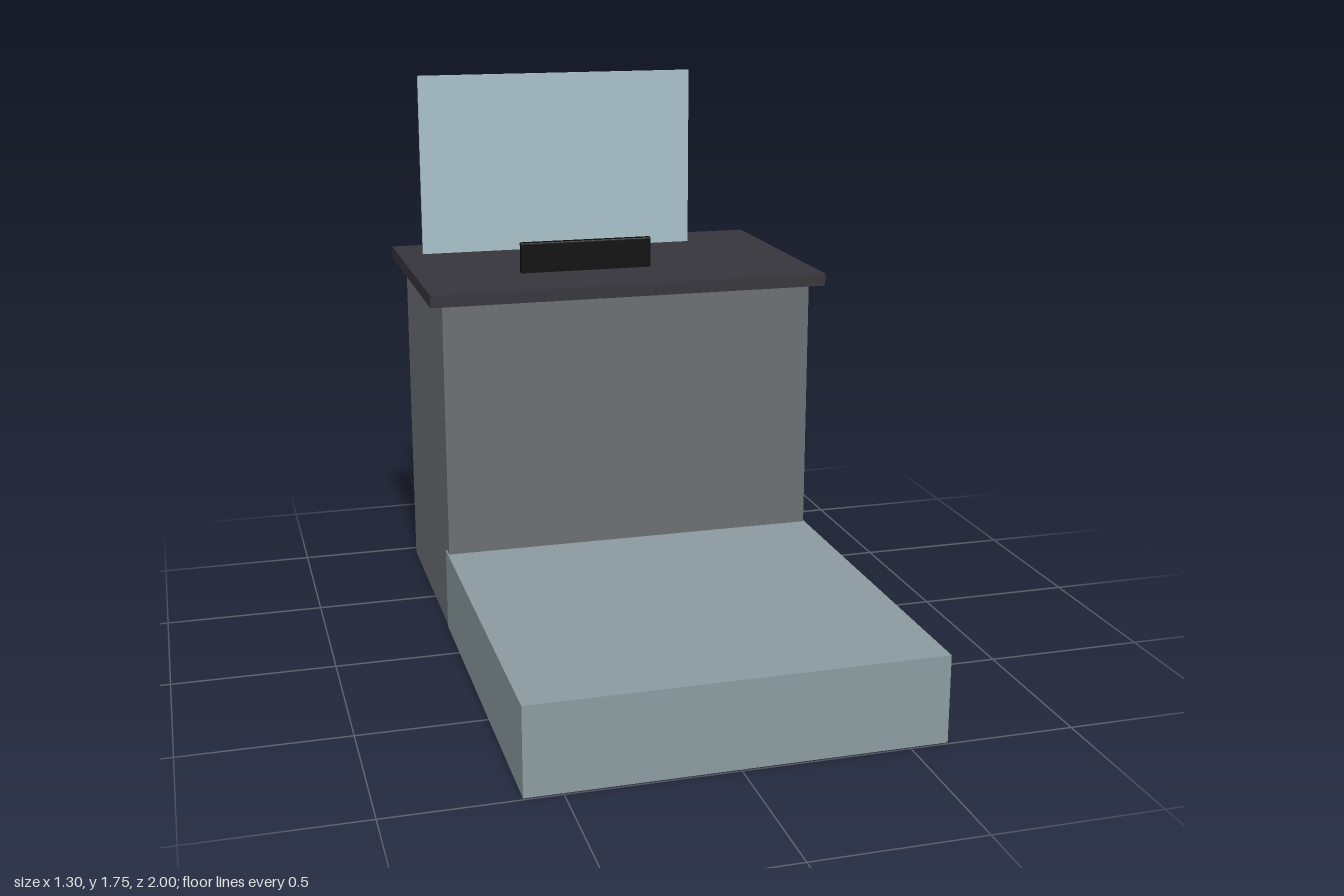
import * as THREE from 'three';

const material = (name, color) => {
  const m = new THREE.MeshStandardMaterial({ color });
  m.name = name;
  return m;
};

// Box given by its minimum and maximum corners
function box(name, mat, [x0, y0, z0], [x1, y1, z1]) {
  const mesh = new THREE.Mesh(new THREE.BoxGeometry(x1 - x0, y1 - y0, z1 - z0), mat);
  mesh.position.set((x0 + x1) / 2, (y0 + y1) / 2, (z0 + z1) / 2);
  mesh.name = name;
  return mesh;
}

// Thin bar along x with softly rounded top edges
function roundedBar(name, mat, x0, x1, y0, y1, z, depth) {
  const h = depth / 2, r = 0.006, top = y1 - y0;
  const profile = new THREE.Shape();
  profile.moveTo(-h, 0);
  profile.lineTo(h, 0);
  profile.lineTo(h, top - r);
  profile.quadraticCurveTo(h, top, h - r, top);
  profile.lineTo(-h + r, top);
  profile.quadraticCurveTo(-h, top, -h, top - r);
  profile.closePath();
  const geometry = new THREE.ExtrudeGeometry(profile, {
    depth: x1 - x0, bevelEnabled: false, curveSegments: 4,
  });
  geometry.rotateY(Math.PI / 2);
  const mesh = new THREE.Mesh(geometry, mat);
  mesh.position.set(x0, y0, z);
  mesh.name = name;
  return mesh;
}

export function createModel() {
  const slate = material('slate grey', 0x6b6f73);
  const paleBlue = material('pale blue grey', 0x8c9ba0);
  const charcoal = material('charcoal', 0x36353c);
  const glass = material('glass blue', 0xa8c1c8);
  const black = material('black', 0x0c0c0c);

  const model = new THREE.Group();
  model.name = 'counterWithPlatform';
  model.add(
    // Low platform in front, slightly wider than the cabinet
    box('platform', paleBlue, [-0.612, 0.004, -0.215], [0.612, 0.27, 1]),
    // Cabinet and overhanging worktop
    box('cabinet', slate, [-0.608, 0, -0.955], [0.608, 1.095, -0.17]),
    box('worktop', charcoal, [-0.65, 1.095, -1], [0.65, 1.135, -0.13]),
    // Upright panel and small bar on the worktop
    box('screenPanel', glass, [-0.567, 1.135, -0.834], [0.389, 1.745, -0.824]),
    roundedBar('bar', black, -0.307, 0.131, 1.13, 1.235, -0.41, 0.024),
  );
  return model;
}
